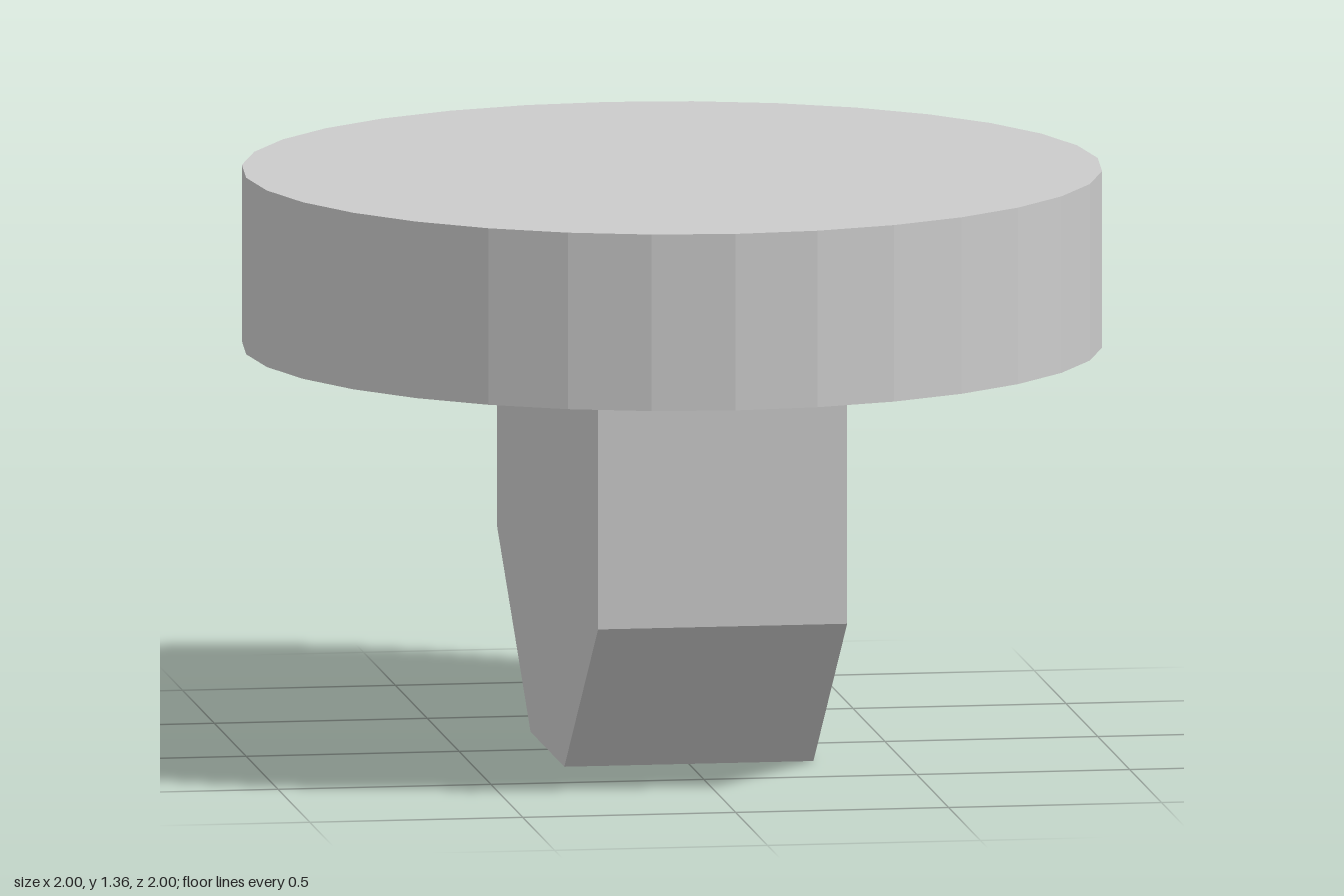
import * as THREE from 'three';

export function createModel() {
  const model = new THREE.Group();
  const material = new THREE.MeshStandardMaterial({ color: 0xcccccc, flatShading: true });
  const capBottom = 0.945, capTop = 1.36;

  function addPart(name, geometry) {
    const mesh = new THREE.Mesh(geometry, material);
    mesh.name = name;
    model.add(mesh);
    return mesh;
  }

  // Round 32-sided cap
  const cap = addPart('cap', new THREE.CylinderGeometry(1, 1, capTop - capBottom, 32));
  cap.position.y = (capBottom + capTop) / 2;

  // Flat stem with a tapered lower end, extruded across x
  const width = 0.585, halfDepth = 0.795, halfTip = 0.265, shoulder = 0.405;
  const outline = new THREE.Shape([
    [-halfTip, 0], [halfTip, 0], [halfDepth, shoulder],
    [halfDepth, capBottom], [-halfDepth, capBottom], [-halfDepth, shoulder],
  ].map(([z, y]) => new THREE.Vector2(z, y)));
  const stem = new THREE.ExtrudeGeometry(outline, { depth: width, bevelEnabled: false });
  stem.translate(0, 0, -width / 2);
  stem.rotateY(Math.PI / 2);
  addPart('stem', stem);

  return model;
}
